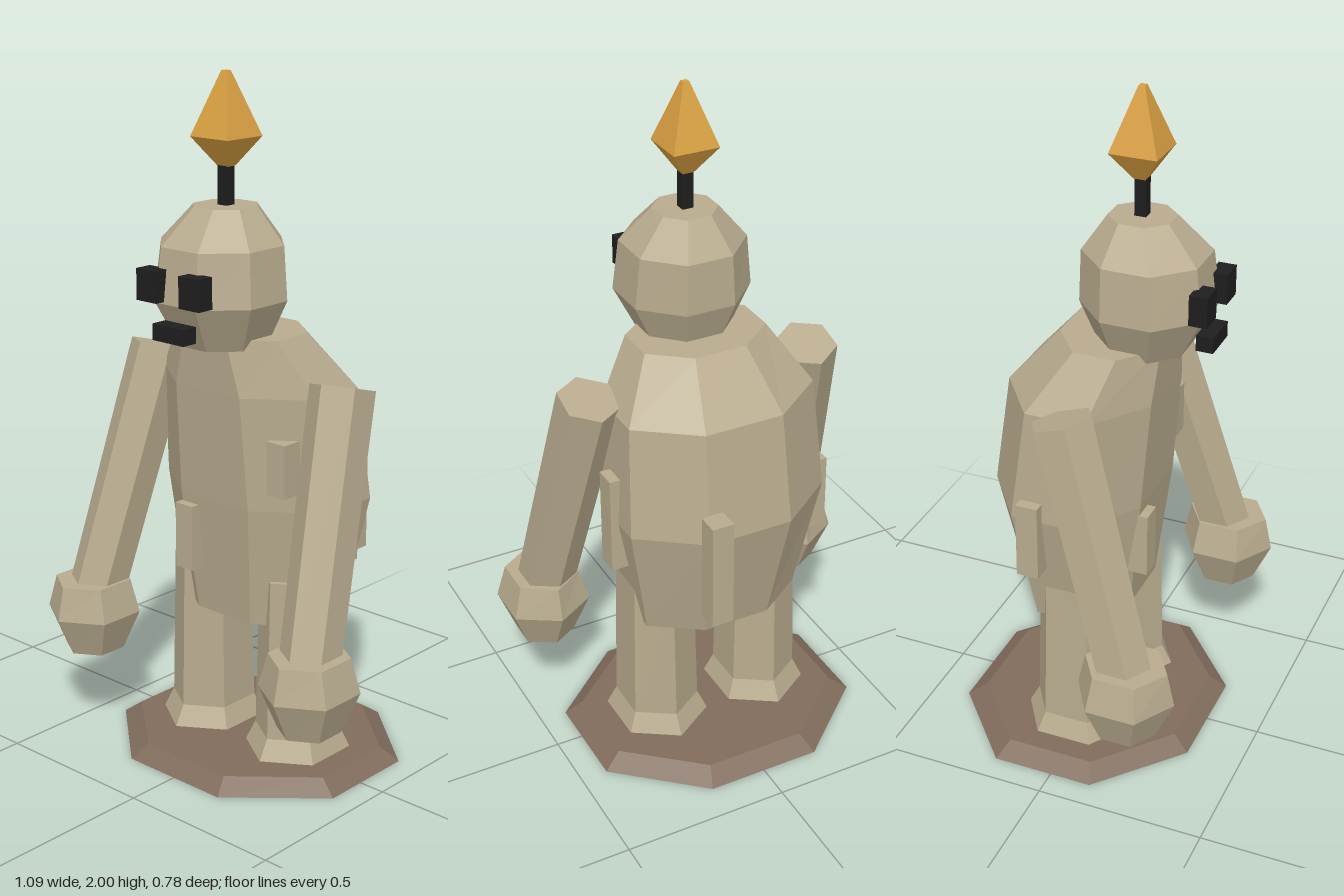
import * as THREE from 'three';

const mat = (name, color) => {
  const m = new THREE.MeshStandardMaterial({ color, flatShading: true });
  m.name = name;
  return m;
};

// Faceted solid through horizontal rings [y, halfX, halfZ, centreZ], with closed ends.
// With flatFront a face points forward, otherwise a corner does.
function loft(rings, sides, flatFront) {
  const shift = flatFront ? 0.5 : 0;
  const k = flatFront ? 1 / Math.cos(Math.PI / sides) : 1;
  const at = ([y, a, b, c = 0], i) => {
    const t = ((i + shift) / sides) * Math.PI * 2;
    return [a * k * Math.sin(t), y, c + b * k * Math.cos(t)];
  };
  const pos = [];
  const low = rings[0], high = rings[rings.length - 1];
  for (let i = 0; i < sides; i++) {
    for (let r = 0; r < rings.length - 1; r++) {
      const p = at(rings[r], i), q = at(rings[r], i + 1);
      const s = at(rings[r + 1], i + 1), u = at(rings[r + 1], i);
      pos.push(...p, ...q, ...s, ...p, ...s, ...u);
    }
    pos.push(0, low[0], low[3] ?? 0, ...at(low, i + 1), ...at(low, i));
    pos.push(0, high[0], high[3] ?? 0, ...at(high, i), ...at(high, i + 1));
  }
  const g = new THREE.BufferGeometry();
  g.setAttribute('position', new THREE.Float32BufferAttribute(pos, 3));
  g.computeVertexNormals();
  return g;
}

export function createModel() {
  const group = new THREE.Group();
  const stone = mat('stone', 0xb8ab8e);
  const earth = mat('earth', 0x806c5c);
  const black = mat('black', 0x1e1e1e);
  const amber = mat('amber', 0xd9a042);

  const add = (name, geometry, material, x = 0, y = 0, z = 0) => {
    const m = new THREE.Mesh(geometry, material);
    m.name = name;
    m.position.set(x, y, z);
    group.add(m);
    return m;
  };
  const box = (name, material, w, h, d, x, y, z) =>
    add(name, new THREE.BoxGeometry(w, h, d), material, x, y, z);

  // Ground slab
  add('base', loft([[0, 0.42, 0.365, -0.027], [0.04, 0.367, 0.313, -0.024]], 8, true), earth);

  // Hunched torso
  add('torso', loft([
    [0.44, 0.245, 0.165, -0.045],
    [0.8, 0.31, 0.225, -0.065],
    [1.13, 0.29, 0.215, -0.03],
    [1.29, 0.19, 0.15, 0.045],
  ], 8, true), stone);

  // Head
  add('head', loft([
    [1.26, 0.12, 0.12, 0.12],
    [1.39, 0.18, 0.178, 0.13],
    [1.54, 0.165, 0.167, 0.122],
    [1.64, 0.085, 0.088, 0.107],
  ], 8, true), stone);

  // Limbs, mirrored
  for (const side of [1, -1]) {
    const label = side > 0 ? 'left' : 'right';
    add(label + 'Leg', loft([
      [0.04, 0.15, 0.167],
      [0.1, 0.122, 0.135],
      [0.58, 0.111, 0.123],
    ], 6, false), stone, side * 0.169, 0, -0.013);

    const top = new THREE.Vector3(side * 0.345, 1.17, 0.017);
    const end = new THREE.Vector3(side * 0.418, 0.45, 0.23);
    const dir = top.clone().sub(end);
    const arm = add(label + 'Arm',
      new THREE.CylinderGeometry(0.092, 0.086, dir.length(), 6), stone);
    arm.position.copy(top).add(end).multiplyScalar(0.5);
    arm.quaternion.setFromUnitVectors(new THREE.Vector3(0, 1, 0), dir.normalize());

    add(label + 'Hand', loft([
      [0.26, 0.088, 0.09],
      [0.38, 0.14, 0.145],
      [0.48, 0.11, 0.123],
    ], 6, false), stone, side * 0.425, 0, 0.24);

    box(label + 'Eye', black, 0.074, 0.088, 0.052, side * 0.079, 1.44, 0.311);
  }
  box('mouth', black, 0.115, 0.046, 0.05, 0, 1.317, 0.312);

  // Stone slabs set into the torso: [x, y, z, height]
  const slabs = [
    [-0.098, 0.675, 0.15, 0.195],
    [0.217, 0.935, 0.112, 0.155],
    [0.3, 0.795, -0.042, 0.3],
    [-0.306, 0.745, -0.098, 0.23],
    [0.118, 0.727, -0.312, 0.33],
  ];
  slabs.forEach(([x, y, z, h]) => box('torsoSlab', stone, 0.066, h, 0.066, x, y, z));

  // Stem and flame on the crown
  box('stem', black, 0.033, 0.14, 0.033, 0, 1.69, 0.105);
  add('flame', loft([
    [1.745, 0.017, 0.017],
    [1.825, 0.069, 0.069],
    [2, 0.009, 0.009],
  ], 4, true), amber, 0, 0, 0.103);

  // Centre the whole figure front to back
  return group;
}
